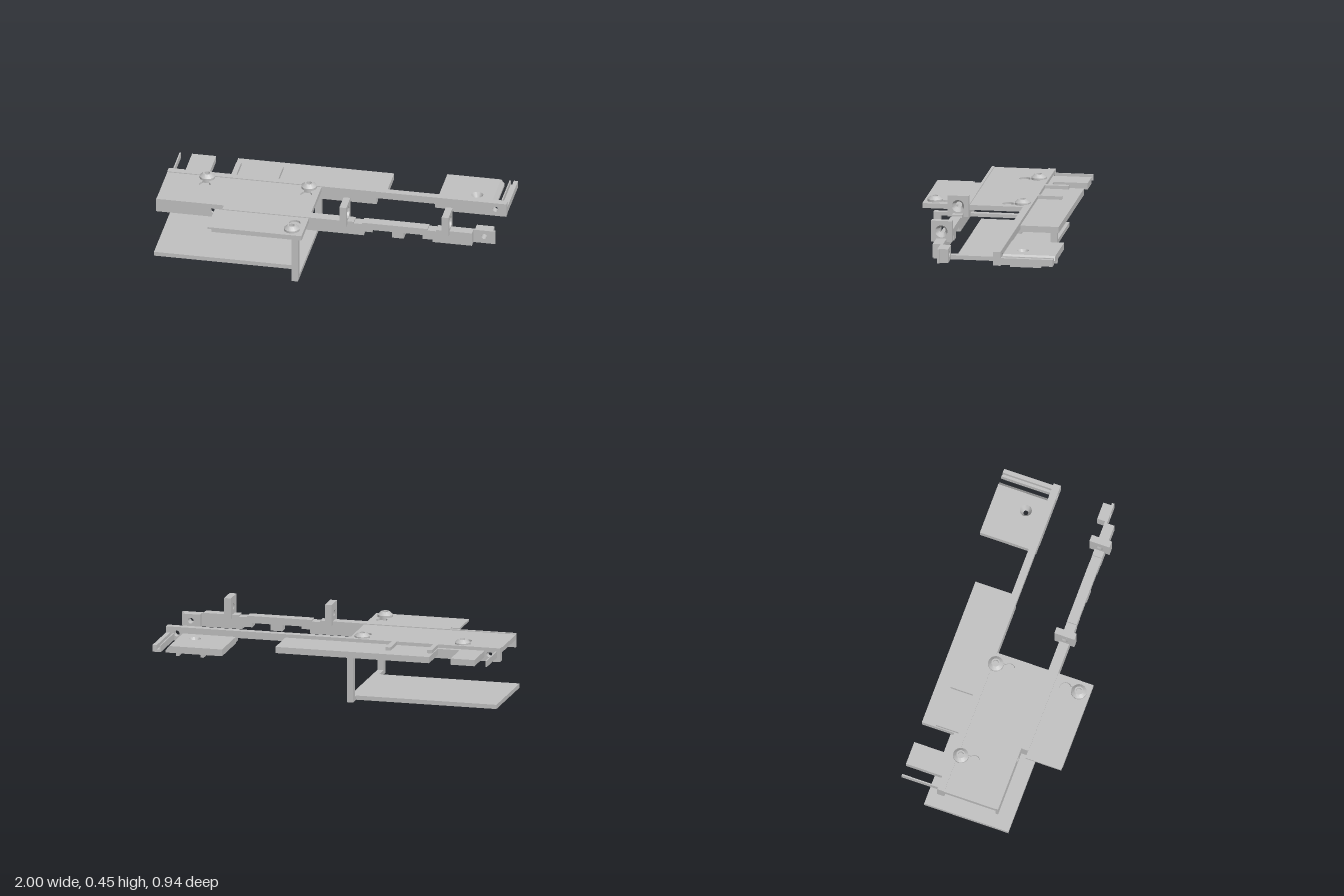
import * as THREE from 'three';
import { toCreasedNormals } from 'three/addons/utils/BufferGeometryUtils.js';

export function createModel() {
  const model = new THREE.Group();
  const metal = new THREE.MeshStandardMaterial({ color: 0xc0c0c0 });
  metal.name = 'plain light grey';

  const add = (name, geo) => {
    const mesh = new THREE.Mesh(geo, metal);
    mesh.name = name;
    model.add(mesh);
    return mesh;
  };
  const box = (name, x0, x1, y0, y1, z0, z1) => {
    const g = new THREE.BoxGeometry(x1 - x0, y1 - y0, z1 - z0);
    add(name, g.translate((x0 + x1) / 2, (y0 + y1) / 2, (z0 + z1) / 2));
  };
  const poly = (pts, holes = []) => {
    const s = new THREE.Shape(pts.map(([a, b]) => new THREE.Vector2(a, b)));
    s.holes.push(...holes);
    return s;
  };
  const rect = (a0, a1, b0, b1) => [[a0, b0], [a1, b0], [a1, b1], [a0, b1]];
  const circle = (a, b, r) => new THREE.Path().absarc(a, b, r, 0, Math.PI * 2, true);
  const extrude = (shape, depth) =>
    new THREE.ExtrudeGeometry(shape, { depth, bevelEnabled: false, curveSegments: 16 });
  // horizontal plate, outline in x and z
  const slab = (name, shape, y0, y1) =>
    add(name, extrude(shape, y1 - y0).rotateX(Math.PI / 2).translate(0, y1, 0));
  // upright strip, outline in x and y
  const upright = (name, shape, z0, z1) => add(name, extrude(shape, z1 - z0).translate(0, 0, z0));
  const lathe = (pts) => toCreasedNormals(
    new THREE.LatheGeometry(pts.map(([r, y]) => new THREE.Vector2(r, y)), 28), 0.5);
  // conical lining of a countersunk hole, wide end up
  const sink = (r0, r1, h) => lathe([[r1, 0], [r1, h], [r0, 0], [r1, 0]]);

  // lower tray and the upright frame that carries it
  box('tray', -1, -0.16, 0, 0.025, -0.245, 0.272);
  const frame = poly(rect(-0.41, 0.315, 0, 0.28), [
    new THREE.Path(rect(-0.37, 0.275, 0.025, 0.26).map((p) => new THREE.Vector2(...p))),
  ]);
  add('supportFrame', extrude(frame, 0.037).rotateY(Math.PI / 2).translate(-0.16, 0, 0));

  // main plate with keyhole pockets and a closed floor
  const outline = [[-1, -0.14], [-0.09, -0.14], [-0.09, 0.47], [-0.645, 0.47],
    [-0.645, 0.25], [-0.6, 0.25], [-0.6, 0.2], [-1, 0.2]];
  const screws = [[-0.76, -0.106, 1], [-0.16, -0.106, 1], [-0.16, 0.405, -1]];
  const keyhole = ([x, z, d]) => {
    const p = new THREE.Path();
    const c = z + d * 0.083, w = 0.02, n = z + d * 0.056;
    p.moveTo(x - w, z).lineTo(x - w, n);
    const a0 = Math.atan2(n - c, -w), sweep = d * -2 * (Math.PI - Math.asin(w / 0.0336));
    for (let i = 0; i <= 16; i++) {
      const a = a0 + (sweep * i) / 16;
      p.lineTo(x + 0.0336 * Math.cos(a), c + 0.0336 * Math.sin(a));
    }
    p.lineTo(x + w, z);
    return p;
  };
  slab('mainPlateTop', poly(outline, screws.map(keyhole)), 0.325, 0.337);
  slab('mainPlateFloor', poly(outline.map(([x, z]) => [x === -0.645 ? -0.62 : x, z])), 0.308, 0.325);

  // pan-head screws with a recessed drive
  for (const [x, z] of screws) {
    add('screw', lathe([[0, 0.305], [0.045, 0.305], [0.045, 0.35], [0.025, 0.368], [0.016, 0.368], [0.016, 0.352], [0, 0.352]]))
      .position.set(x, 0, z);
  }

  // thin left part of the front rail, with a small round hole
  upright('frontRailLeft', poly(rect(-1, -0.6, 0.26, 0.342), [circle(-0.66, 0.303, 0.018)]), 0.193, 0.209);

  // long front rail with a notched lower edge
  upright('frontRail', poly([
    [-0.6, 0.26], [0.235, 0.26], [0.235, 0.285], [0.285, 0.285], [0.285, 0.3], [0.4, 0.3],
    [0.4, 0.263], [0.47, 0.263], [0.47, 0.3], [0.58, 0.3], [0.58, 0.275], [0.64, 0.275],
    [0.64, 0.26], [0.872, 0.26], [0.872, 0.342], [0.66, 0.342], [0.66, 0.333], [0.61, 0.333],
    [0.61, 0.342], [0.225, 0.342], [0.225, 0.333], [0.175, 0.333], [0.175, 0.342], [-0.6, 0.342],
  ]), 0.193, 0.253);
  const endHole = (x) => circle(x, 0.303, 0.017);
  upright('frontRailTail', poly(rect(0.872, 1, 0.26, 0.342), [endHole(0.936)]), 0.193, 0.207);
  upright('frontRailEnd', poly(rect(0.88, 0.985, 0.26, 0.342), [endHole(0.936)]), 0.145, 0.193);

  // two upright brackets with countersunk holes
  for (const x of [0.097, 0.7]) {
    const plate = poly(rect(-0.285, -0.162, 0.322, 0.447), [circle(-0.224, 0.385, 0.036)]);
    add('bracket', extrude(plate, 0.04).rotateY(Math.PI / 2).translate(x, 0, 0));
    add('bracketCountersink', sink(0.018, 0.036, 0.04).rotateZ(-Math.PI / 2).translate(x, 0.385, 0.224));
  }

  // long back rail
  upright('backRail', poly([
    [-1, 0.26], [0.235, 0.26], [0.235, 0.3], [0.58, 0.3], [0.58, 0.275], [0.64, 0.275], [0.64, 0.26],
    [1, 0.26], [1, 0.342], [-1, 0.342],
  ], [endHole(0.936), endHole(-0.936)]), -0.165, -0.122);

  // back shelf with two ribs, small shelf and edge strip
  box('backShelf', -0.635, 0.285, 0.285, 0.322, -0.39, -0.16);
  for (const x of [-0.63, -0.382]) box('shelfRib', x, x + 0.03, 0.32, 0.342, -0.305, -0.16);
  box('smallShelf', -0.907, -0.765, 0.285, 0.322, -0.39, -0.16);
  box('smallShelfLink', -0.765, -0.63, 0.285, 0.322, -0.192, -0.16);
  box('edgeStrip', -0.981, -0.973, 0.285, 0.322, -0.39, -0.16);

  // right back plate with a countersunk hole and a sloped edge, then channel and lip
  slab('rightPlate', poly(rect(0.583, 0.9, -0.47, -0.16), [circle(0.8, -0.265, 0.035)]), 0.266, 0.306);
  add('plateCountersink', sink(0.014, 0.035, 0.04).translate(0.8, 0.266, -0.265));
  upright('plateEdge', poly([[0.9, 0.266], [0.921, 0.266], [0.921, 0.28], [0.9, 0.306]]), -0.47, -0.16);
  box('channelFloor', 0.95, 0.985, 0.266, 0.28, -0.47, -0.16);
  box('channelWall', 0.95, 0.957, 0.266, 0.306, -0.47, -0.16);
  box('outerLip', 0.975, 1, 0.266, 0.306, -0.47, -0.16);
  for (const x of [0.717, 0.864]) box('lowerTab', x, x + 0.018, 0.226, 0.268, -0.382, -0.2);

  return model;
}
